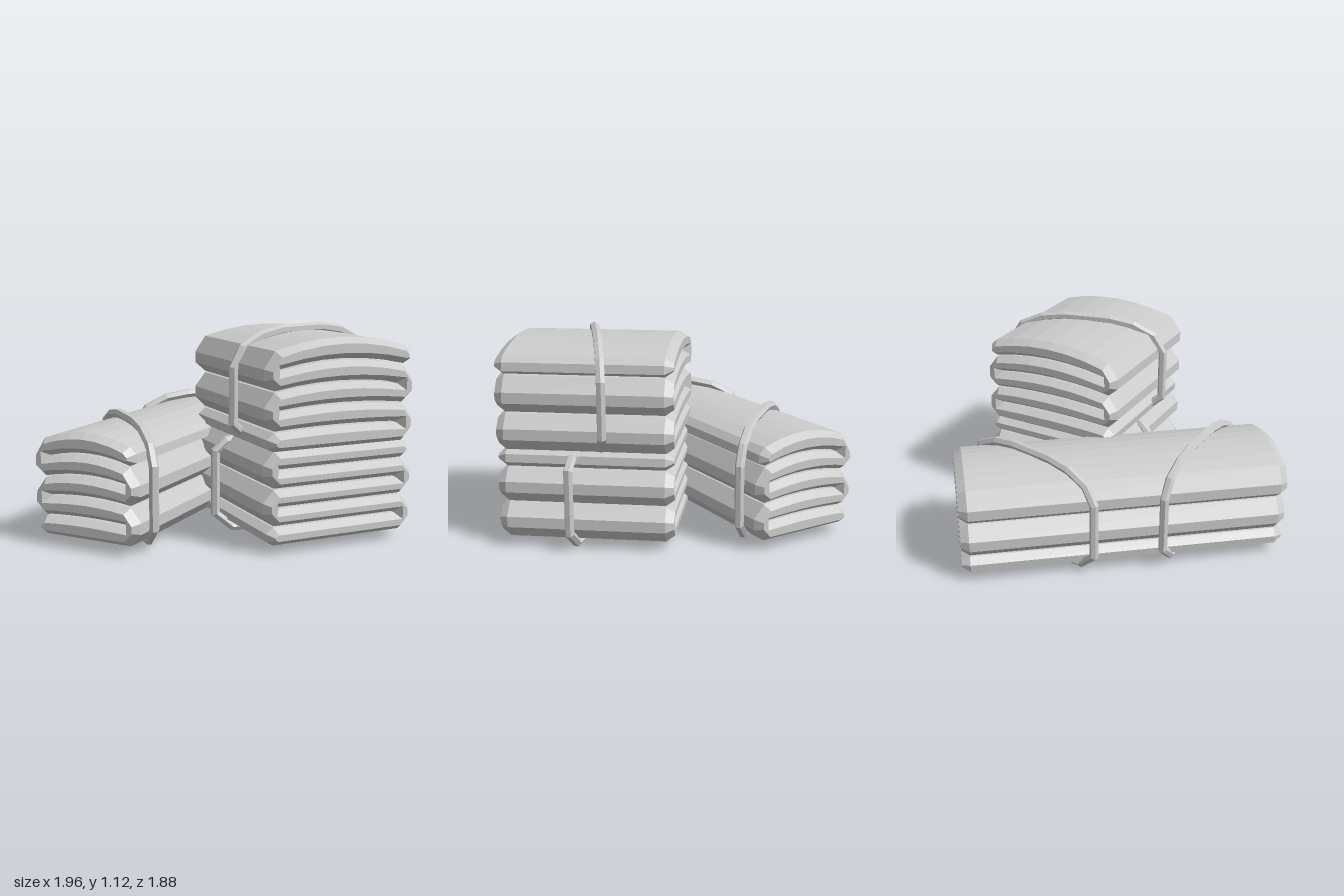
import * as THREE from 'three';

const material = new THREE.MeshStandardMaterial({ color: 0xcccccc, flatShading: true });
const PITCH = 0.097, LAYERS = 5, HEIGHT = PITCH * LAYERS;

// Zigzag-folded cloth: a serpentine outline, bent into an arch and extruded with bevelled ends
function foldedCloth(name, halfWidth, halfLength, rise) {
  const gap = 0.004, edge = halfWidth - 0.06, inner = halfWidth - 0.09, steps = 6;
  const side = [];
  const run = (from, to, y) => {
    for (let i = 0; i <= steps; i++) side.push([from + (to - from) * i / steps, y]);
  };
  // right side, bottom to top: two folds, each followed by a slit, then the free end
  for (const y of [0, 2 * PITCH]) {
    side.push([edge, y + gap], [halfWidth, y + 0.7 * PITCH], [halfWidth, y + 1.3 * PITCH]);
    run(edge, -inner, y + 2 * PITCH - gap);
    run(-inner, edge, y + 2 * PITCH + gap);
    side.pop();
  }
  side.push([edge, 4 * PITCH + gap], [halfWidth - 0.02, 4.35 * PITCH], [halfWidth - 0.025, HEIGHT - 0.02]);
  run(edge, -edge, HEIGHT);
  side.pop();
  side.shift();
  side.unshift([edge, 0]);

  // the left side is the right side turned half round
  const outline = side.concat(side.map(([u, y]) => [-u, HEIGHT - y]));
  const points = outline.map(([u, y]) =>
    new THREE.Vector2(u, y + rise * (1 - (u / halfWidth) ** 2) * y / HEIGHT));
  const bevel = 0.045;
  const geometry = new THREE.ExtrudeGeometry(new THREE.Shape(points), {
    depth: 2 * (halfLength - bevel), bevelEnabled: true, bevelSegments: 1,
    bevelThickness: bevel, bevelSize: 0.03, bevelOffset: -0.03,
  });
  geometry.translate(0, 0, bevel - halfLength);
  const mesh = new THREE.Mesh(geometry, material);
  mesh.name = name;
  return mesh;
}

// Closed polyline whose corners are the tube's rings
class PolyLoop extends THREE.Curve {
  constructor(points) {
    super();
    this.points = points;
  }
  getPoint(t, target = new THREE.Vector3()) {
    const n = this.points.length;
    return target.copy(this.points[Math.round(t * n) % n]);
  }
  getPointAt(t, target) {
    return this.getPoint(t, target);
  }
  getTangentAt(t, target = new THREE.Vector3()) {
    const n = this.points.length, i = Math.round(t * n) % n;
    const p = this.points[i];
    const before = p.clone().sub(this.points[(i + n - 1) % n]).normalize();
    const after = this.points[(i + 1) % n].clone().sub(p).normalize();
    return target.copy(before).add(after).normalize();
  }
}

// Cord around a bundle, in the upright plane through plan points a and b
function cord(name, a, b, bottom, top, shoulder) {
  const half = [
    [0.8, bottom], [1, bottom + 0.08], [1, top - 2 * shoulder],
    [0.87, top - 0.9 * shoulder], [0.6, top - 0.25 * shoulder], [0.3, top],
  ];
  const loop = half.concat(half.map(([s, y]) => [-s, y]).reverse());
  const points = loop.map(([s, y]) => new THREE.Vector3(
    THREE.MathUtils.lerp(a[0], b[0], (s + 1) / 2), y,
    THREE.MathUtils.lerp(a[1], b[1], (s + 1) / 2)));
  const mesh = new THREE.Mesh(
    new THREE.TubeGeometry(new PolyLoop(points), points.length, 0.026, 6, true), material);
  mesh.name = name;
  return mesh;
}

export function createModel() {
  const group = new THREE.Group();
  group.name = 'tiedClothBundles';

  // long bundle
  const long = foldedCloth('longBundle', 0.315, 0.91, 0.075);
  long.position.set(-0.23, 0.055, -0.03);
  long.rotation.y = -0.595;
  group.add(long);

  // two square bundles, one on the other
  [['lowerSquareBundle', 0.05, 0], ['upperSquareBundle', 0.53, 0.075]].forEach(([name, y, rise]) => {
    const square = foldedCloth(name, 0.435, 0.465, rise);
    square.position.set(0.44, y, 0.375);
    square.rotation.y = 0.3;
    group.add(square);
  });

  // cords
  group.add(
    cord('longBundleFrontCord', [-0.615, -0.05], [-0.385, 0.8], 0.05, 0.632, 0.09),
    cord('longBundleBackCord', [-0.4, -0.375], [0.49, -0.475], 0.05, 0.632, 0.09),
    cord('lowerSquareCord', [-0.03, 0.45], [0.91, 0.31], 0.026, 0.55, 0.05),
    cord('upperSquareCord', [0.04, 0.625], [0.85, 0.14], 0.55, 1.1, 0.09),
  );
  return group;
}
